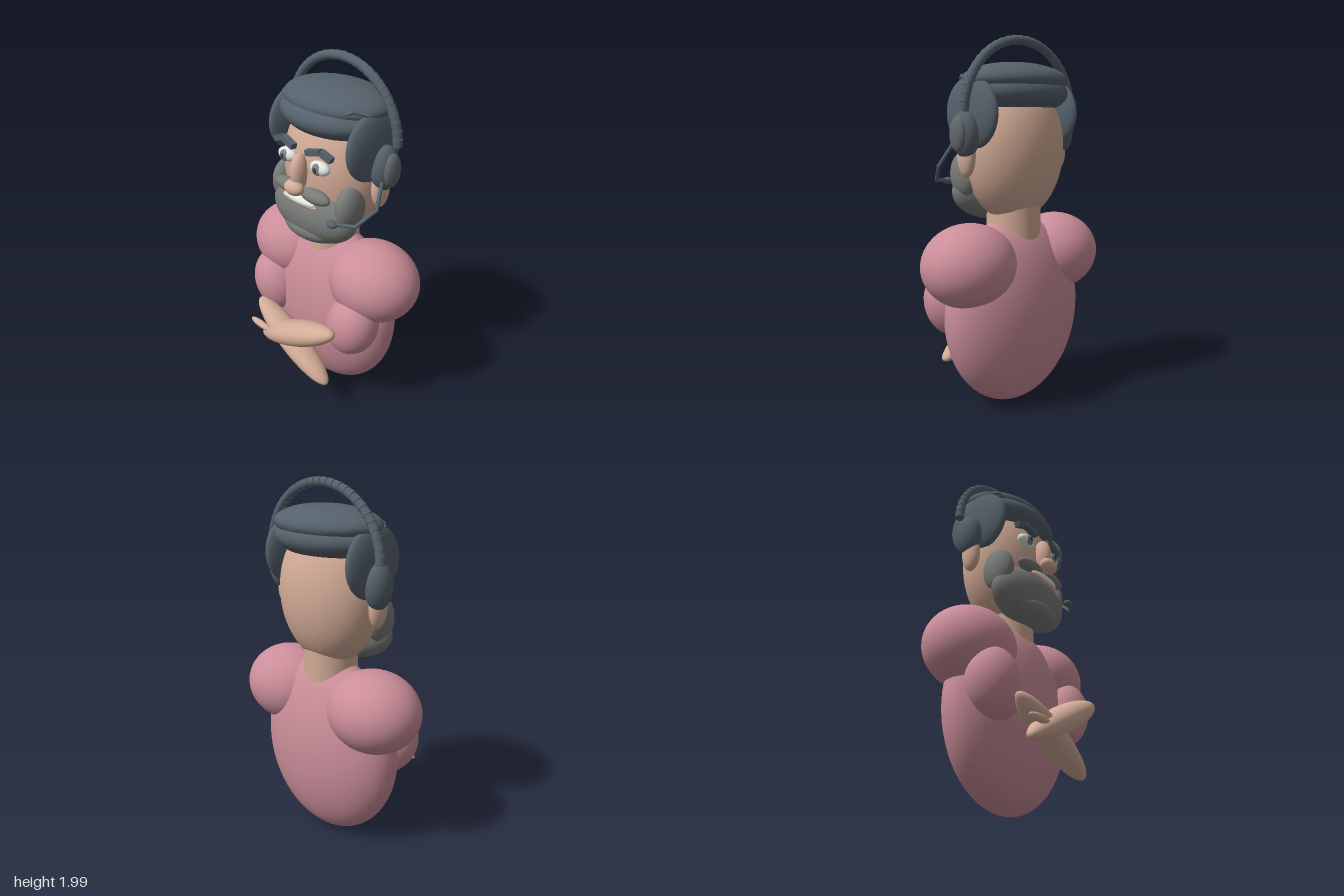
import * as THREE from 'three';

const mat = (name, color) => {
  const m = new THREE.MeshStandardMaterial({ color });
  m.name = name;
  return m;
};

export function createModel() {
  const model = new THREE.Group();
  model.name = 'headsetBust';
  const shirt = mat('rose shirt', 0xcb8e9a);
  const skin = mat('skin', 0xd3ac97);
  const hair = mat('slate hair', 0x55616b);
  const beard = mat('grey beard', 0x797b78);
  const white = mat('white', 0xe4e4e0);
  const iris = mat('iris grey', 0x7b8586);
  const pupil = mat('pupil dark', 0x3a4148);
  const pad = mat('ear pad grey', 0x63686c);

  const add = (name, geometry, material) => {
    const mesh = new THREE.Mesh(geometry, material);
    mesh.name = name;
    model.add(mesh);
    return mesh;
  };
  // Ellipsoid from centre, radii and rotation
  const ball = (name, material, c, r, rot = [0, 0, 0]) => {
    const mesh = add(name, new THREE.SphereGeometry(1, 48, 32), material);
    mesh.position.set(...c);
    mesh.scale.set(...r);
    mesh.rotation.set(...rot);
    return mesh;
  };
  // Straight rod between two points, optionally tapered
  const rod = (name, material, a, b, r0, r1 = r0, sides = 16) => {
    const dir = b.clone().sub(a);
    const mesh = add(name, new THREE.CylinderGeometry(r1, r0, dir.length(), sides), material);
    mesh.position.copy(a).lerp(b, 0.5);
    mesh.quaternion.setFromUnitVectors(new THREE.Vector3(0, 1, 0), dir.normalize());
    return mesh;
  };
  const V = (x, y, z) => new THREE.Vector3(x, y, z);

  // Body and crossed forearms
  ball('torso', shirt, [0, 0.53, -0.085], [0.45, 0.52, 0.235]);
  rod('neck', skin, V(0, 0.85, -0.085), V(0, 1.2, -0.085), 0.148, 0.148, 48);
  ball('leftForearm', skin, [0.043, 0.465, 0.24], [0.332, 0.075, 0.09], [0, 0, 0.475]);
  ball('rightForearm', skin, [-0.025, 0.36, 0.215], [0.33, 0.065, 0.083], [0, 0, -0.49]);
  ball('fingers', skin, [-0.235, 0.395, 0.285], [0.085, 0.021, 0.021]);

  // Head, hair cap and beard
  ball('head', skin, [0, 1.41, -0.085], [0.305, 0.39, 0.23]);
  ball('hairBand', hair, [0, 1.705, -0.087], [0.33, 0.12, 0.242]);
  ball('hairTop', hair, [0, 1.77, -0.1], [0.325, 0.095, 0.225]);
  ball('beard', beard, [0, 1.185, 0.058], [0.295, 0.165, 0.13]);
  ball('chin', beard, [0, 1.1, 0.065], [0.2, 0.08, 0.12]);

  // Nose and mouth
  ball('noseBridge', skin, [0, 1.44, 0.16], [0.042, 0.1, 0.055]);
  ball('noseTip', skin, [0, 1.362, 0.2], [0.062, 0.041, 0.042]);
  ball('lip', skin, [0, 1.273, 0.165], [0.13, 0.018, 0.022]);
  ball('teeth', white, [0, 1.285, 0.168], [0.115, 0.024, 0.025]);

  // Mirrored parts
  for (const s of [-1, 1]) {
    const side = s > 0 ? 'left' : 'right';
    ball(side + 'Shoulder', shirt, [s * 0.318, 0.815, -0.088], [0.265, 0.222, 0.235]);
    ball(side + 'UpperArm', shirt, [s * 0.315, 0.59, 0.07], [0.15, 0.19, 0.14], [0, 0, -s * 0.3]);
    ball(side + 'SideHair', hair, [s * 0.288, 1.6, -0.08], [0.054, 0.187, 0.193]);
    ball(side + 'Ear', skin, [s * 0.333, 1.385, -0.09], [0.04, 0.11, 0.056]);
    ball(side + 'EarCup', hair, [s * 0.345, 1.495, -0.1], [0.065, 0.122, 0.08]);
    ball(side + 'BeardSide', beard, [s * 0.245, 1.28, 0.035], [0.06, 0.122, 0.095]);
    ball(side + 'Moustache', beard, [s * 0.098, 1.328, 0.145], [0.105, 0.039, 0.042]);

    // Eyes
    ball(side + 'Eye', white, [s * 0.123, 1.49, 0.132], [0.064, 0.037, 0.035]);
    ball(side + 'Iris', iris, [s * 0.123, 1.49, 0.154], [0.03, 0.031, 0.018]);
    ball(side + 'Pupil', pupil, [s * 0.123, 1.49, 0.169], [0.013, 0.015, 0.006]);

    // Two-piece eyebrows
    const brow = [[-0.208, 1.557, 0.13], [-0.14, 1.583, 0.142], [-0.048, 1.56, 0.152]];
    for (let i = 0; i < 2; i++) {
      const a = brow[i], b = brow[i + 1];
      const len = Math.hypot(b[0] - a[0], b[1] - a[1]);
      const box = add(side + 'Brow', new THREE.BoxGeometry(len, 0.03, 0.035), hair);
      box.position.set(-s * (a[0] + b[0]) / 2, (a[1] + b[1]) / 2, (a[2] + b[2]) / 2);
      box.rotation.set(0, s * 0.12, -s * Math.atan2(b[1] - a[1], b[0] - a[0]));
    }

    // Loose strand on the hair
    const drop = s > 0 ? 0 : 0.012;
    const p = [V(s * 0.2, 1.767 - drop, 0.068), V(s * 0.255, 1.793 - drop, 0.035), V(s * 0.305, 1.775 - drop, -0.015)];
    for (let i = 0; i < 2; i++) rod(side + 'Strand', hair, p[i], p[i + 1], 0.009);
  }

  // Ribbed headband made of short tapered links
  const links = 28;
  const at = (i) => {
    const t = (i / links) * Math.PI;
    return V(0.386 * Math.cos(t), 1.608 + 0.367 * Math.sin(t), -0.14);
  };
  for (let i = 0; i < links; i++) rod('headbandLink', hair, at(i), at(i + 1), 0.023, 0.026, 20);

  // Outer pad and microphone boom
  ball('earPad', pad, [0.395, 1.495, -0.1], [0.033, 0.09, 0.055]);
  const boom = [V(0.385, 1.44, -0.04), V(0.42, 1.33, 0.03), V(0.365, 1.25, 0.12), V(0.25, 1.238, 0.17)];
  for (let i = 0; i < 3; i++) {
    rod('micBoom', hair, boom[i], boom[i + 1], 0.01);
    ball('boomJoint', hair, boom[i].toArray(), [0.01, 0.01, 0.01]);
  }
  ball('microphone', hair, [0.25, 1.238, 0.17], [0.034, 0.02, 0.024]);

  return model;
}
